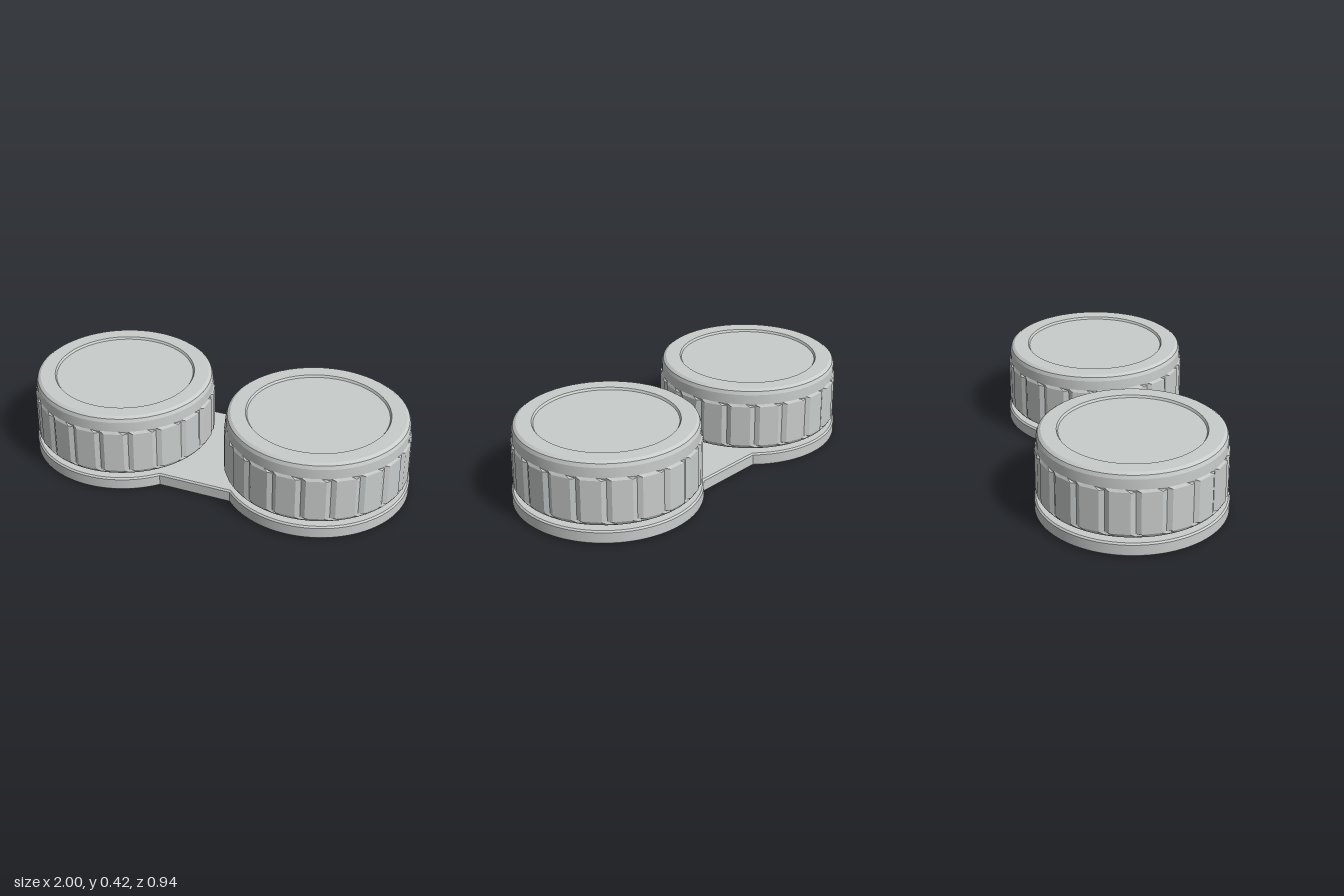
import * as THREE from 'three';
import { toCreasedNormals } from 'three/addons/utils/BufferGeometryUtils.js';

const CX = 0.528;   // distance of each well from the middle
const BASE_R = 0.472;
const rad = THREE.MathUtils.degToRad;

// Two discs joined by a bridge, with a small bevel all round
function baseGeometry() {
  const phi = Math.asin(0.33 / BASE_R);
  const shape = new THREE.Shape();
  shape.absarc(CX, 0, BASE_R, -(Math.PI - phi), Math.PI - phi, false);
  shape.absarc(-CX, 0, BASE_R, phi, 2 * Math.PI - phi, false);
  shape.closePath();
  const geo = new THREE.ExtrudeGeometry(shape, {
    depth: 0.054, curveSegments: 56, bevelEnabled: true, bevelSegments: 1,
    bevelThickness: 0.008, bevelSize: 0.008, bevelOffset: -0.008,
  });
  geo.rotateX(-Math.PI / 2).translate(0, 0.008, 0);
  return toCreasedNormals(geo, 0.25);
}

// Screw cap: a lathe whose grip rows are pushed into 20 flat ridges
function lidGeometry() {
  // radius, height, grip row
  const rows = [
    [0, 0.09], [0.45, 0.09], [0.457, 0.098], [0.466, 0.112, true], [0.466, 0.328, true],
    [0.458, 0.341], [0.457, 0.392], [0.45, 0.41], [0.435, 0.42],
    [0.36, 0.42], [0.353, 0.409], [0, 0.409],
  ];
  const segments = 60;
  const start = rad(9);
  const geo = new THREE.LatheGeometry(rows.map(([r, y]) => new THREE.Vector2(r, y)), segments, start);
  const pos = geo.attributes.position;
  for (let j = 0; j <= segments; j++) {
    rows.forEach(([r, , grip], i) => {
      if (!grip) return;
      const k = j % 3; // valley, ridge start, ridge end
      const angle = start + rad(j * 6 + [0, -3, 3][k]);
      const radius = k === 0 ? r - 0.012 : r;
      const v = j * rows.length + i;
      pos.setX(v, Math.sin(angle) * radius);
      pos.setZ(v, Math.cos(angle) * radius);
    });
  }
  return toCreasedNormals(geo, 0.15);
}

export function createModel() {
  const model = new THREE.Group();
  const plastic = new THREE.MeshStandardMaterial({ color: 0xc8cccb });
  plastic.name = 'greyPlastic';

  const add = (name, geometry, x = 0, y = 0) => {
    const mesh = new THREE.Mesh(geometry, plastic);
    mesh.name = name;
    mesh.position.set(x, y, 0);
    model.add(mesh);
  };

  add('base', baseGeometry());

  // Neck and lid of each well
  const neck = new THREE.CylinderGeometry(0.41, 0.41, 0.04, 60, 1, true);
  const lid = lidGeometry();
  for (const [side, s] of [['left', 1], ['right', -1]]) {
    add(side + 'Neck', neck, s * CX, 0.08);
    add(side + 'Lid', lid, s * CX);
  }
  return model;
}
